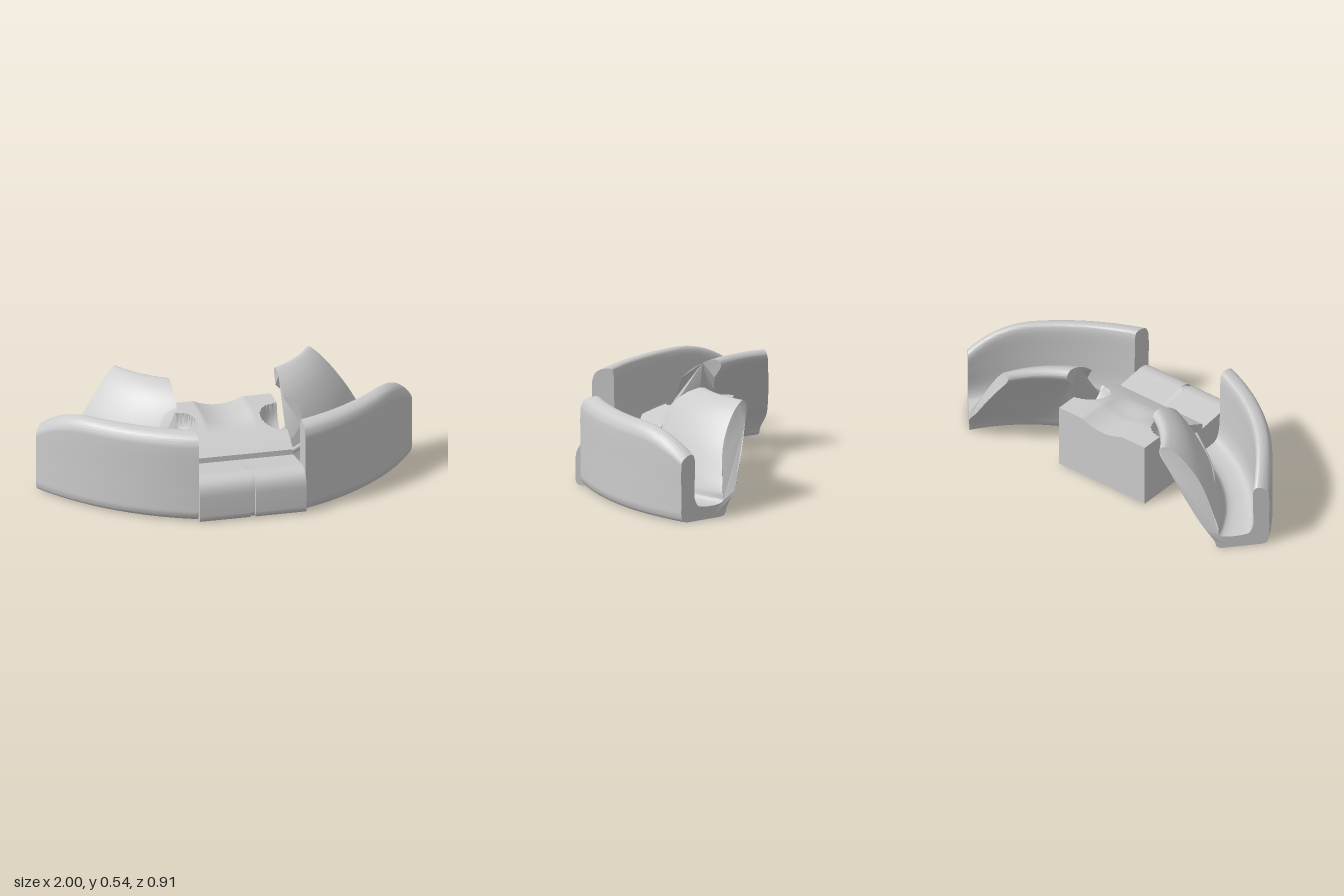
import * as THREE from 'three';
import { toCreasedNormals } from 'three/addons/utils/BufferGeometryUtils.js';

const material = new THREE.MeshStandardMaterial({ color: 0xcccccc });
const HALF = 0.283; // half width of the centre block

// Point on the slanted end of a trough, u measured inward from the outer corner
const cut = (u, y) => [1 - 0.656 * u, y, -0.17 - 0.755 * u];

// Trough section: [z, y] where it meets the centre block, then [x, y, z] at its far end
const section = [
  [0.38, 0, ...cut(0.045, 0)], [0.412, 0.01, ...cut(0.012, 0.01)], [0.428, 0.04, ...cut(0.001, 0.04)],
  [0.43, 0.08, ...cut(0, 0.08)], [0.43, 0.23, ...cut(0, 0.18)], [0.43, 0.39, ...cut(0, 0.28)],
  [0.426, 0.425, ...cut(0.003, 0.32)], [0.408, 0.458, ...cut(0.02, 0.34)], [0.375, 0.474, ...cut(0.045, 0.355)],
  [0.33, 0.475, ...cut(0.07, 0.355)], [0.32, 0.455, ...cut(0.083, 0.335)],
  [0.315, 0.3, ...cut(0.085, 0.24)], [0.305, 0.13, ...cut(0.085, 0.12)], [0.285, 0.082, ...cut(0.105, 0.08)],
  [0.255, 0.07, ...cut(0.135, 0.07)], [0.17, 0.07, ...cut(0.235, 0.07)], [0.135, 0.085, ...cut(0.262, 0.083)],
  // inner flange, trough side
  [0.105, 0.13, 0.822, 0.12, -0.366], [0.07, 0.24, 0.777, 0.2, -0.356], [0.01, 0.37, 0.69, 0.35, -0.355],
  [-0.05, 0.455, 0.605, 0.465, -0.385], [-0.13, 0.515, 0.55, 0.52, -0.415], [-0.21, 0.54, 0.515, 0.54, -0.44],
  // inner flange, back side
  [-0.24, 0.515, 0.5, 0.515, -0.455], [-0.195, 0.43, 0.565, 0.42, -0.453], [-0.12, 0.31, 0.652, 0.3, -0.445],
  [-0.055, 0.18, 0.735, 0.18, -0.432], [-0.01, 0.07, 0.787, 0.115, -0.418], [0.005, 0.035, ...cut(0.285, 0.045)],
  [0.025, 0.01, ...cut(0.275, 0.012)], [0.055, 0, ...cut(0.25, 0)],
];

// Sweeps the section along arcs and closes both ends
function troughGeometry(side) {
  const loop = (pts) => new THREE.CatmullRomCurve3(pts, true, 'centripetal').getPoints(section.length * 6).slice(0, -1);
  const starts = loop(section.map(([z, y]) => new THREE.Vector3(HALF, y, z)));
  const ends = loop(section.map(([, , x, y, z]) => new THREE.Vector3(x, y, z)));
  const n = starts.length, steps = 40, pos = [], index = [];
  const arcs = starts.map((s, j) => {
    const e = ends[j];
    const c = (e.x ** 2 + e.z ** 2 - HALF ** 2 - s.z ** 2) / (2 * (e.z - s.z));
    const r = Math.hypot(HALF, s.z - c);
    // Round opening beside the centre block, cut through the flange
    const notch = s.z < 0.1 ? Math.sqrt(Math.max(0, 0.0081 - (s.y - 0.345) ** 2)) : 0;
    const a0 = Math.asin(HALF / r);
    return { c, r, a0, a1: Math.atan2(e.x, e.z - c), shift: Math.asin((HALF + notch) / r) - a0 };
  });
  for (let i = 0; i <= steps; i++) {
    const t = i / steps;
    arcs.forEach(({ c, r, a0, a1, shift }, j) => {
      const s = starts[j], e = ends[j];
      const a = a0 + (a1 - a0) * t + shift * (1 - t) ** 3;
      // The outer wall keeps its height, then dips near the end
      const k = s.z > 0.2 ? Math.max(0, (t - 0.6) / 0.4) ** 2.3 : t;
      const y = Math.max(0, s.y + (e.y - s.y) * k);
      // The outer wall bows less than the inner flange
      const flat = 0.2 * THREE.MathUtils.smoothstep(s.z, 0.15, 0.32);
      const x = THREE.MathUtils.lerp(r * Math.sin(a), s.x + (e.x - s.x) * t, flat);
      const z = THREE.MathUtils.lerp(c + r * Math.cos(a), s.z + (e.z - s.z) * t, flat);
      pos.push(side * x, y, z);
    });
  }
  const face = (a, b, c) => (side > 0 ? index.push(a, b, c) : index.push(a, c, b));
  for (let i = 0; i < steps; i++) {
    for (let j = 0; j < n; j++) {
      const a = i * n + j, c = i * n + (j + 1) % n;
      face(a, a + n, c);
      face(a + n, c + n, c);
    }
  }
  const cap = (flat, base, flip) => {
    for (const [a, b, c] of THREE.ShapeUtils.triangulateShape(flat, [])) {
      const ccw = THREE.ShapeUtils.area([flat[a], flat[b], flat[c]]) > 0;
      if (ccw !== flip) face(base + a, base + b, base + c);
      else face(base + a, base + c, base + b);
    }
  };
  cap(starts.map((p) => new THREE.Vector2(p.z, p.y)), 0, false);
  cap(ends.map((p) => new THREE.Vector2(0.656 * p.x + 0.755 * p.z, p.y)), steps * n, true);
  const g = new THREE.BufferGeometry();
  g.setAttribute('position', new THREE.Float32BufferAttribute(pos, 3));
  g.setIndex(index);
  return toCreasedNormals(g, 0.6);
}

// Slim bead along the trough side of the flange
function beadGeometry(side) {
  const points = [[0.27, 0.2, 0.125], [0.39, 0.215, 0.035], [0.5, 0.225, -0.05], [0.6, 0.23, -0.14], [0.7, 0.215, -0.275]];
  const curve = new THREE.CatmullRomCurve3(points.map(([x, y, z]) => new THREE.Vector3(side * x, y, z)));
  return new THREE.TubeGeometry(curve, 24, 0.014, 10);
}

// Height of the centre block: a rounded ramp, a shallow middle channel and two round side pockets
function blockHeight(x, z) {
  let h = 0.24 + 0.115 * (1 - Math.max(0, 1 - (0.17 - z) / 0.32) ** 1.5);
  const channel = Math.max(0, 1 - (x / 0.13) ** 2);
  h -= 0.03 * channel * THREE.MathUtils.smoothstep(-z, -0.05, 0.12);
  const d = Math.hypot(Math.abs(x) - HALF, z + 0.065);
  if (d < 0.11) h = Math.min(h, 0.33 - Math.sqrt(0.0121 - d * d));
  return h;
}

function blockGeometry() {
  const g = new THREE.BoxGeometry(HALF * 2, 1, 0.475, 64, 1, 54);
  g.translate(0, 0.5, -0.0675);
  const p = g.attributes.position;
  for (let i = 0; i < p.count; i++) {
    if (p.getY(i) > 0.5) p.setY(i, blockHeight(p.getX(i), p.getZ(i)));
  }
  return toCreasedNormals(g, 0.5);
}

// Rounded front lip, extruded sideways between two x positions
function lipGeometry(x0, x1, front) {
  const s = new THREE.Shape();
  s.moveTo(0.16, 0);
  s.lineTo(front - 0.035, 0);
  s.quadraticCurveTo(front, 0, front, 0.035);
  s.lineTo(front, 0.14);
  s.quadraticCurveTo(front, 0.235, front - 0.095, 0.235);
  s.lineTo(0.34, 0.232);
  s.lineTo(0.16, 0.21);
  const g = new THREE.ExtrudeGeometry(s, { depth: x1 - x0, bevelEnabled: false, curveSegments: 10 });
  g.rotateY(-Math.PI / 2);
  g.translate(x1, 0, 0);
  return toCreasedNormals(g, 0.6);
}

export function createModel() {
  const model = new THREE.Group();
  const add = (name, geometry) => {
    const mesh = new THREE.Mesh(geometry, material);
    mesh.name = name;
    model.add(mesh);
  };
  for (const [name, side] of [['left', 1], ['right', -1]]) {
    add(name + 'Trough', troughGeometry(side));
    add(name + 'FlangeBead', beadGeometry(side));
  }
  add('centreBlock', blockGeometry());
  // The front lip is split by a narrow midline slot
  add('leftLip', lipGeometry(0.013, HALF, 0.455));
  add('rightLip', lipGeometry(-HALF, -0.013, 0.455));
  add('midlineSlot', lipGeometry(-0.013, 0.013, 0.44));
  return model;
}
